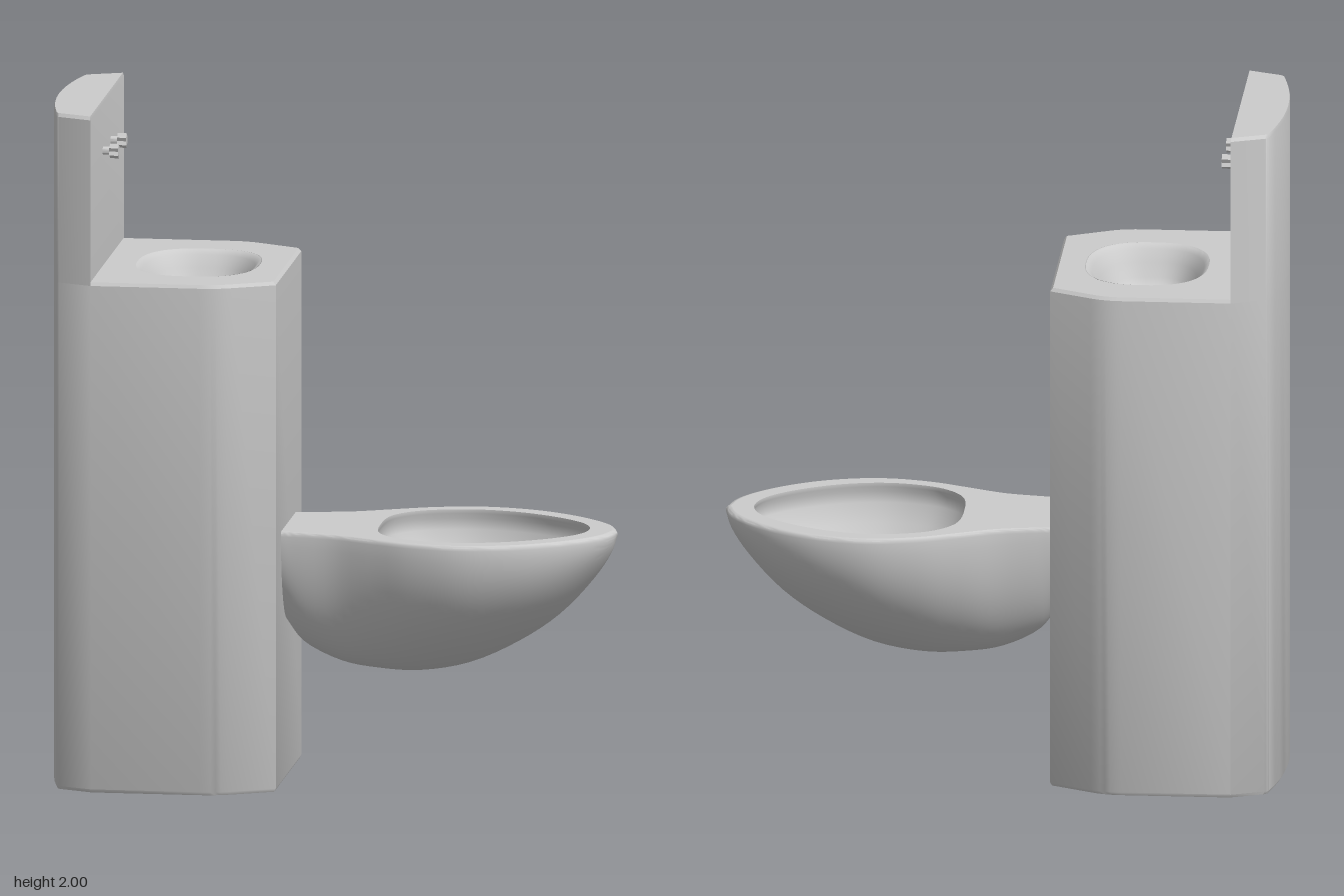
import * as THREE from 'three';
import { toCreasedNormals } from 'three/addons/utils/BufferGeometryUtils.js';

const material = new THREE.MeshStandardMaterial({ color: 0xcccccc, side: THREE.DoubleSide });

function add(parent, name, geometry, crease = 0.6) {
  const mesh = new THREE.Mesh(crease ? toCreasedNormals(geometry, crease) : geometry, material);
  mesh.name = name;
  parent.add(mesh);
  return mesh;
}

// Plan points (x, y) become a level ring; plan y points to the back
const ring = (points, y) => points.map((p) => new THREE.Vector3(p.x, y, -p.y));

// Scales plan points about (cx, 0)
const inset = (points, k, cx) => points.map((p) => new THREE.Vector2(cx + (p.x - cx) * k, p.y * k));

// Skin over closed rings with equal point counts
function loft(rings) {
  const n = rings[0].length, index = [];
  for (let i = 0; i < rings.length - 1; i++) {
    for (let j = 0; j < n; j++) {
      const a = i * n + j, b = i * n + (j + 1) % n;
      index.push(a, b, a + n, b, b + n, a + n);
    }
  }
  const geometry = new THREE.BufferGeometry().setFromPoints(rings.flat());
  geometry.setIndex(index);
  return geometry.toNonIndexed();
}

// Flat face, looking up or down, with an optional hole
function cap(points, y, hole, up = true) {
  const shape = new THREE.Shape(points);
  if (hole) shape.holes.push(new THREE.Path(hole));
  return new THREE.ShapeGeometry(shape).rotateX(up ? -Math.PI / 2 : Math.PI / 2).translate(0, y, 0);
}

function superellipse(cx, hx, hz, power, n = 64) {
  return Array.from({ length: n }, (_, i) => {
    const a = (i / n) * Math.PI * 2, c = Math.cos(a), s = Math.sin(a);
    return new THREE.Vector2(
      cx + hx * Math.sign(c) * Math.abs(c) ** (2 / power),
      hz * Math.sign(s) * Math.abs(s) ** (2 / power));
  });
}

function createCabinet() {
  const group = new THREE.Group();
  group.name = 'cabinet';

  // Front part of the plan, with chamfered corners
  const front = new THREE.Path();
  front.moveTo(-0.68, -0.355);
  front.lineTo(-0.36, -0.355);
  front.quadraticCurveTo(-0.31, -0.355, -0.27, -0.334);
  front.lineTo(-0.147, -0.27);
  front.lineTo(-0.147, 0.27);
  front.lineTo(-0.27, 0.334);
  front.quadraticCurveTo(-0.31, 0.355, -0.36, 0.355);
  front.lineTo(-0.68, 0.355);

  // Rear part, with a bowed back
  const rear = new THREE.Path();
  rear.moveTo(-0.68, 0.355);
  rear.lineTo(-0.775, 0.315);
  rear.quadraticCurveTo(-0.785, 0.31, -0.788, 0.3);
  rear.quadraticCurveTo(-0.858, 0, -0.788, -0.3);
  rear.quadraticCurveTo(-0.785, -0.31, -0.775, -0.315);
  rear.lineTo(-0.68, -0.355);
  const frontPts = front.getPoints(6), rearPts = rear.getPoints(10);
  const plan = [...frontPts, ...rearPts.slice(1, -1)];

  add(group, 'cabinetWalls', loft([
    ring(inset(plan, 0.985, -0.48), 0), ring(plan, 0.01), ring(plan, 1.5)]));
  add(group, 'cabinetBottom', cap(inset(plan, 0.985, -0.48), 0, null, false));

  // Deck with a softened edge and the sink opening
  const deckPts = inset(frontPts, 0.985, -0.68);
  const opening = superellipse(-0.41, 0.18, 0.22, 2.5);
  add(group, 'deckEdge', loft([ring(frontPts, 1.5), ring(deckPts, 1.51)]));
  add(group, 'deck', cap(deckPts, 1.51, opening));

  // Sink: half width, half length, height, squareness
  const sinkRings = [
    [0.18, 0.22, 1.51, 2.5], [0.173, 0.213, 1.507, 2.5], [0.162, 0.203, 1.495, 2.5],
    [0.14, 0.184, 1.46, 2.6], [0.118, 0.165, 1.42, 2.8], [0.1, 0.15, 1.398, 3], [0.08, 0.13, 1.39, 3],
  ].map(([hx, hz, y, p]) => ring(superellipse(-0.412, hx, hz, p), y));
  add(group, 'sinkBasin', loft(sinkRings), 0.9);
  add(group, 'sinkFloor', cap(superellipse(-0.412, 0.08, 0.13, 3), 1.39));

  // Upright back panel
  const panelTop = inset(rearPts, 0.975, -0.74);
  add(group, 'backPanel', loft([ring(rearPts, 1.5), ring(rearPts, 1.99), ring(panelTop, 2)]));
  add(group, 'backPanelTop', cap(panelTop, 2));
  return group;
}

// Push button with a short stem and a star-shaped head
function createButton(z) {
  const group = new THREE.Group();
  group.name = 'tapButton';
  const star = new THREE.Shape(Array.from({ length: 12 }, (_, i) => {
    const a = (i / 12) * Math.PI * 2, r = i % 2 ? 0.014 : 0.022;
    return new THREE.Vector2(Math.sin(a) * r, Math.cos(a) * r);
  }));
  add(group, 'buttonStem', new THREE.CylinderGeometry(0.012, 0.012, 0.03, 16)
    .rotateZ(Math.PI / 2).translate(0.01, 0, 0));
  add(group, 'buttonHead', new THREE.ExtrudeGeometry(star, { depth: 0.026, bevelEnabled: false })
    .rotateY(Math.PI / 2).translate(0.02, 0, 0), 0);
  group.position.set(-0.68, 1.85, z);
  return group;
}

function createBowl() {
  const group = new THREE.Group();
  group.name = 'toiletBowl';
  const RIM = 0.735;

  // Stations along the bowl: x, half width, depth below the rim
  const stations = new THREE.CatmullRomCurve3([
    [-0.17, 0.155, 0.24], [-0.147, 0.16, 0.27], [-0.1, 0.167, 0.333], [0.01, 0.19, 0.39],
    [0.12, 0.24, 0.41], [0.24, 0.293, 0.414], [0.385, 0.32, 0.387], [0.53, 0.294, 0.32],
    [0.65, 0.233, 0.237], [0.75, 0.146, 0.13], [0.8, 0.072, 0.055], [0.82, 0, 0],
  ].map((p) => new THREE.Vector3(...p))).getPoints(44);
  const section = (angle, side) => stations.map((s) => {
    const power = THREE.MathUtils.lerp(0.9, 1.5, THREE.MathUtils.smoothstep(s.x, -0.15, 0.25));
    const c = Math.max(0, Math.cos(angle));
    return new THREE.Vector3(s.x, RIM - s.z * Math.sin(angle), side * s.y * c ** power);
  });
  const rings = [];
  for (let i = 0; i <= 18; i++) {
    const a = (1 - i / 18) * Math.PI / 2;
    rings.push([...section(a, 1), ...section(a, -1).reverse().slice(1)]);
  }

  // Rounded rim edge
  const outline = rings[18].map((v) => new THREE.Vector2(v.x, -v.z));
  const rimPts = inset(outline, 0.97, 0.3);
  rings.push(ring(inset(outline, 0.997, 0.3), 0.743), ring(inset(outline, 0.987, 0.3), 0.748), ring(rimPts, 0.75));
  add(group, 'bowlShell', loft(rings), 1);

  // Egg-shaped opening
  const half = [[0.715, 0.08], [0.64, 0.16], [0.51, 0.235], [0.385, 0.263], [0.29, 0.253], [0.2, 0.215], [0.14, 0.14]];
  const opening = new THREE.CatmullRomCurve3([
    [0.737, 0], ...half, [0.124, 0], ...half.map(([x, y]) => [x, -y]).reverse(),
  ].map(([x, y]) => new THREE.Vector3(x, y, 0)), true).getPoints(80).slice(0, -1)
    .map((p) => new THREE.Vector2(p.x, p.y));
  add(group, 'rimTop', cap(rimPts, 0.75, opening));

  // Inside funnel, narrowing to a flattened drain: blend towards drain, drop
  const drain = opening.map((p) => {
    const a = Math.atan2(p.y, p.x - 0.4);
    return new THREE.Vector2(0.385 + 0.025 * Math.cos(a), 0.075 * Math.sin(a));
  });
  const inner = [[0, 0], [0, 0.012], [-0.04, 0.028], [-0.02, 0.06], [0.1, 0.115], [0.28, 0.18],
    [0.5, 0.24], [0.72, 0.29], [0.9, 0.325], [1, 0.365]];
  add(group, 'bowlInside', loft(inner.map(([t, drop]) =>
    ring(opening.map((p, i) => p.clone().lerp(drain[i], t)), 0.75 - drop))), 0.9);
  add(group, 'drain', cap(drain, 0.385));
  return group;
}

export function createModel() {
  const model = new THREE.Group();
  model.name = 'sinkToiletUnit';
  model.add(createCabinet(), createBowl());
  for (const z of [-0.083, 0.083]) model.add(createButton(z));
  return model;
}
